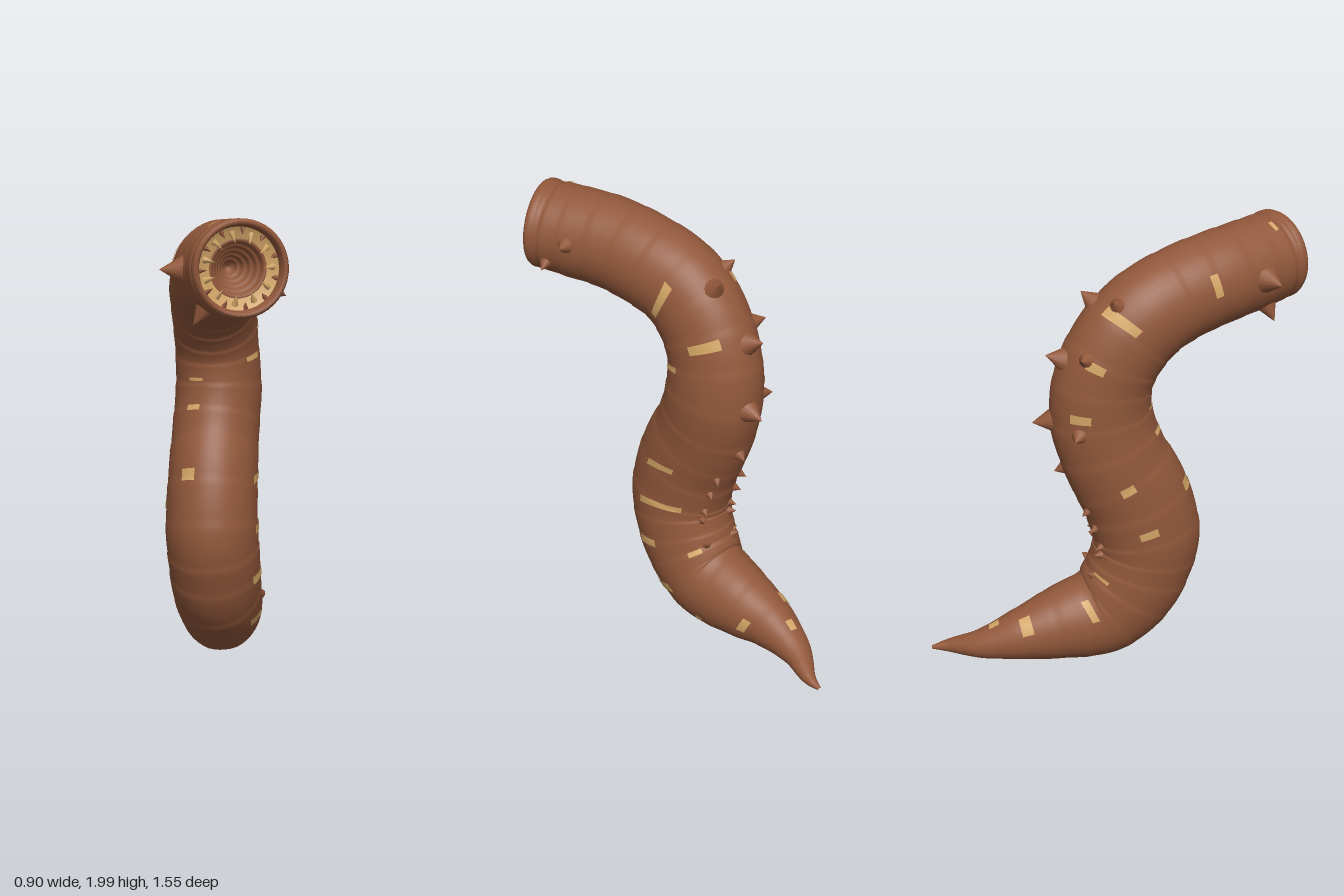
import * as THREE from 'three';

const brown = new THREE.MeshStandardMaterial({ name: 'skin brown', color: 0x92583b });
const tan = new THREE.MeshStandardMaterial({ name: 'tan', color: 0xd2a566, side: THREE.DoubleSide });

// Spine stations from tail to mouth: x, y, z, depth radius, side radius
const stations = [
  [0.44, 0.05, -0.77, 0.008, 0.008], [0.385, 0.06, -0.7, 0.033, 0.034], [0.265, 0.09, -0.6, 0.07, 0.074],
  [0.165, 0.13, -0.45, 0.125, 0.118], [0.09, 0.16, -0.28, 0.178, 0.16], [0.01, 0.2, -0.1, 0.22, 0.187],
  [-0.045, 0.315, 0.005, 0.24, 0.2], [-0.075, 0.455, 0.06, 0.245, 0.205], [-0.09, 0.6, 0.075, 0.248, 0.205],
  [-0.07, 0.8, 0.025, 0.245, 0.2], [-0.03, 1.0, -0.06, 0.235, 0.195], [0, 1.2, -0.11, 0.23, 0.193],
  [-0.01, 1.39, -0.105, 0.222, 0.187], [-0.045, 1.55, -0.035, 0.22, 0.187], [-0.085, 1.665, 0.08, 0.215, 0.19],
  [-0.12, 1.73, 0.24, 0.21, 0.193], [-0.155, 1.768, 0.42, 0.208, 0.193], [-0.17, 1.785, 0.6, 0.205, 0.195],
  [-0.175, 1.8, 0.745, 0.197, 0.197],
];
const last = stations.length - 1;
const spine = new THREE.CatmullRomCurve3(stations.map((s) => new THREE.Vector3(s[0], s[1], s[2])), false, 'catmullrom');
const girth = new THREE.CatmullRomCurve3(stations.map((s) => new THREE.Vector3(s[3], s[4], 0)), false, 'catmullrom');

// Point and outward normal on the skin; angle 0 is the +x side, 90 is the back
function skin(i, degrees, lift = 0) {
  const u = Math.min(i / last, 1), t = THREE.MathUtils.degToRad(degrees);
  const axis = spine.getTangent(u), size = girth.getPoint(u);
  const side = new THREE.Vector3(0.93, 0, 0.37);
  side.addScaledVector(axis, -side.dot(axis)).normalize();
  const back = axis.clone().cross(side);
  const phase = (i * 1.35) % 1;
  const k = 1 + 0.016 * (phase - 0.5) * Math.min(1, 8 * (1 - phase)) // overlapping segments
    - 0.05 * Math.exp(-(((i - 17.72) / 0.05) ** 2)); // groove behind the lip
  const normal = side.clone().multiplyScalar(Math.cos(t) / size.y)
    .addScaledVector(back, Math.sin(t) / size.x).normalize();
  const point = spine.getPoint(u)
    .addScaledVector(side, Math.cos(t) * size.y * k)
    .addScaledVector(back, Math.sin(t) * size.x * k)
    .addScaledVector(normal, lift);
  point.y = Math.max(point.y, lift ? 0.002 : 0.005); // flat resting belly
  return { point, normal };
}

// Grid of skin points between two stations and two angles; skew slides the station along the angle
function skinGrid(i0, i1, a0, a1, rows, cols, lift = 0, skew = 0) {
  const closed = a1 - a0 === 360, stride = closed ? cols : cols + 1;
  const pos = [], index = [];
  for (let r = 0; r <= rows; r++) {
    for (let c = 0; c < stride; c++) {
      const f = c / cols;
      const p = skin(i0 + ((i1 - i0) * r) / rows + skew * f, a0 + (a1 - a0) * f, lift).point;
      pos.push(p.x, p.y, p.z);
    }
  }
  for (let r = 0; r < rows; r++) {
    for (let c = 0; c < cols; c++) {
      const n = (c + 1) % stride;
      const a = r * stride + c, b = r * stride + n, d = a + stride, e = b + stride;
      index.push(a, b, d, b, e, d);
    }
  }
  const g = new THREE.BufferGeometry();
  g.setAttribute('position', new THREE.Float32BufferAttribute(pos, 3));
  g.setIndex(index);
  g.computeVertexNormals();
  return g;
}

function add(parent, name, geometry, material) {
  const mesh = new THREE.Mesh(geometry, material);
  mesh.name = name;
  parent.add(mesh);
  return mesh;
}

const UP = new THREE.Vector3(0, 1, 0);

// Thorns: station, angle, length, base radius
const thorns = [
  [16.75, 10, 0.06, 0.045], [17.4, -25, 0.045, 0.038], [16.65, 180, 0.09, 0.065], [16.95, 235, 0.07, 0.05],
  [13.6, 122, 0.05, 0.045], [13.35, 75, 0.065, 0.055], [12.25, 92, 0.075, 0.06], [12.5, 132, 0.05, 0.045],
  [11.12, 82, 0.08, 0.06], [11.05, 140, 0.05, 0.045], [10.2, 80, 0.04, 0.04],
];
// Two rows of small thorns down the inner bend
for (const i of [9.55, 8.95, 8.3, 7.4, 6.1]) {
  thorns.push([i, 62, 0.03, 0.03], [i - 0.15, 108, 0.035, 0.03]);
}

// Tan markings: station, start angle, end angle, half width in stations, skew
const markings = [
  [13.7, -15, 32, 0.12, 0.25], [12.4, 12, 52, 0.1, 0], [11.85, -42, -16, 0.09, 0], [8.95, -22, 12, 0.08, 0.33],
  [7.95, -18, 35, 0.1, 0.3], [6.7, -30, -2, 0.11, -0.12], [5.5, -40, -14, 0.11, -0.25], [3.35, -8, 22, 0.12, -0.12],
  [4.5, -36, -24, 0.08, 0], [5.9, 36, 54, 0.1, 0],
  [8.95, -126, -108, 0.1, 0], [11.3, -126, -106, 0.06, 0], [10.35, -126, -108, 0.07, 0],
  [13.4, 115, 165, 0.1, 0.1], [12.45, 135, 158, 0.09, 0], [11.4, 130, 155, 0.09, 0], [9.65, 164, 180, 0.09, 0],
  [8.5, 162, 182, 0.09, 0], [6.2, 110, 134, 0.11, 0], [4.5, 130, 162, 0.1, 0.15], [3.1, 116, 155, 0.12, 0],
  [2.4, 82, 104, 0.13, 0], [15.45, 150, 178, 0.09, 0], [17.45, 110, 125, 0.07, 0],
];

export function createModel() {
  const model = new THREE.Group();
  model.name = 'worm';
  add(model, 'body', skinGrid(0, last, 0, 360, 260, 44), brown);

  for (const [i, angle, length, radius] of thorns) {
    const { point, normal } = skin(i, angle);
    const cone = add(model, 'thorn', new THREE.ConeGeometry(radius, length + 0.02, 12), brown);
    cone.quaternion.setFromUnitVectors(UP, normal);
    cone.position.copy(point).addScaledVector(normal, length / 2 - 0.01);
  }
  for (const [i, a0, a1, w, skew] of markings) {
    add(model, 'marking', skinGrid(i - w, i + w, a0, a1, 4, 12, 0.004, skew), tan);
  }

  // Mouth, built along +y and turned to the head's direction
  const mouth = new THREE.Group();
  mouth.name = 'mouth';
  mouth.position.copy(spine.getPoint(1));
  mouth.quaternion.setFromUnitVectors(UP, new THREE.Vector3(-0.03, 0.04, 1).normalize());
  model.add(mouth);
  const lathe = (name, profile, material) =>
    add(mouth, name, new THREE.LatheGeometry(profile.map((p) => new THREE.Vector2(p[0], p[1])), 44), material);
  lathe('lip', [[0.19, -0.03], [0.2, -0.015], [0.2, 0.005], [0.193, 0.018], [0.183, 0.02], [0.175, 0.012],
    [0.17, -0.01], [0.167, -0.03]], brown);
  lathe('gum', [[0.169, -0.025], [0.15, -0.035], [0.116, -0.045]], tan);

  // Stepped throat
  const steps = [[0.12, -0.038]];
  for (let k = 0; k < 5; k++) {
    const r = 0.112 - k * 0.019, y = -0.035 - k * 0.03;
    steps.push([r, y], [r - 0.008, y - 0.008], [r - 0.01, y - 0.032]);
  }
  steps.push([0, -0.2]);
  lathe('throat', steps, brown);

  // Inward teeth, tan and brown alternating
  const count = 22;
  for (let k = 0; k < count; k++) {
    const t = (k / count) * Math.PI * 2, odd = k % 2;
    const out = new THREE.Vector3(Math.cos(t), 0, Math.sin(t));
    const tooth = add(mouth, 'tooth', new THREE.ConeGeometry(0.015, odd ? 0.04 : 0.05, 6), odd ? brown : tan);
    tooth.quaternion.setFromUnitVectors(UP, out.clone().multiplyScalar(-0.85).setY(0.5).normalize());
    tooth.position.copy(out).multiplyScalar(odd ? 0.152 : 0.125).setY(-0.025);
  }
  return model;
}
